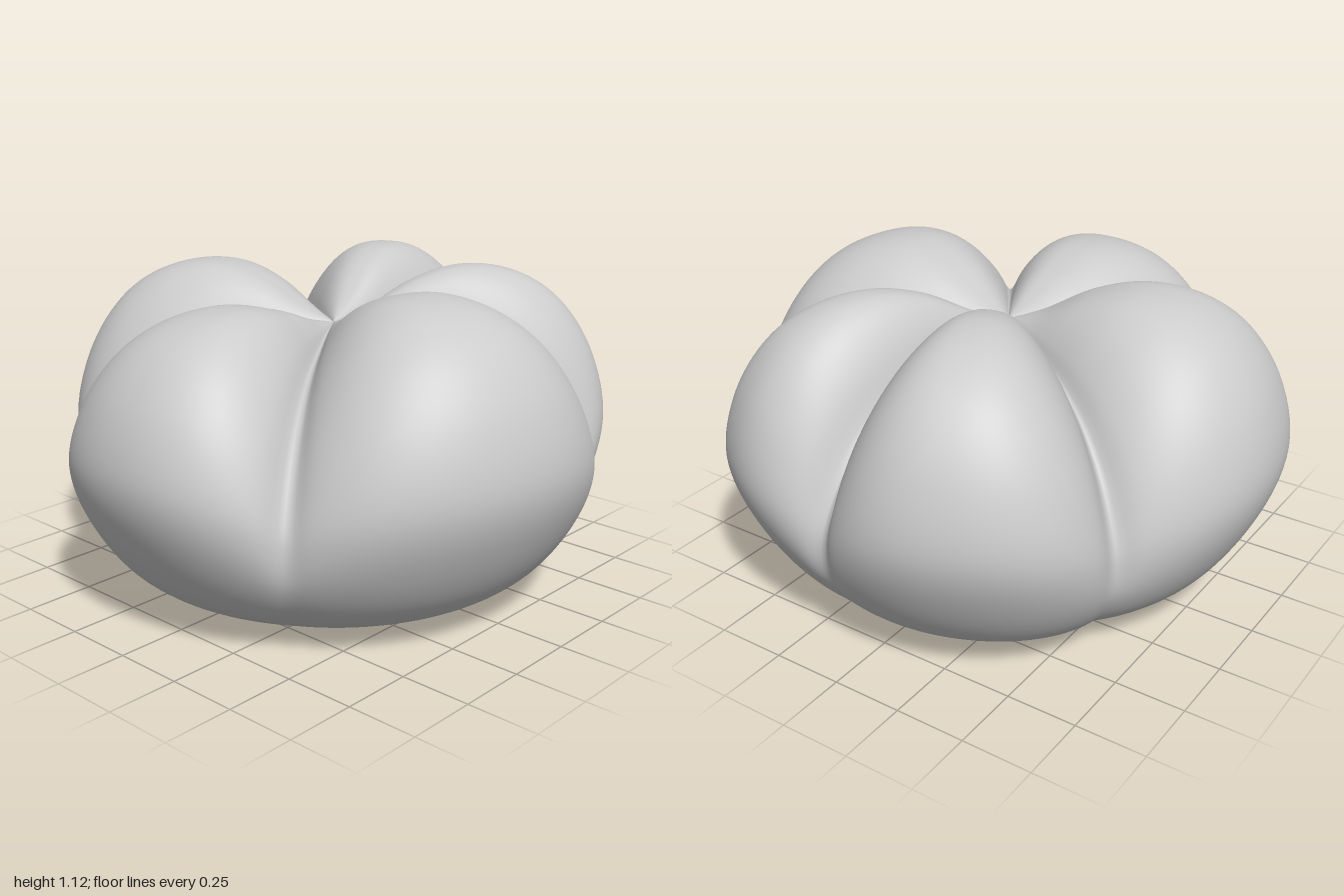
import * as THREE from 'three';

const DEG = Math.PI / 180;

// Grooves around the cushion: angle from +x towards +z, radius at the waist
const grooves = [[57, 0.865], [131.6, 0.84], [212.7, 0.835], [277.8, 0.885], [325, 0.87], [417, 0.865]];
// Lobe between each groove and the next: crest angle, crest radius, crest height
const lobes = [[90, 1.0, 1.05], [165, 0.995, 1.1], [249, 1.015, 1.12], [302, 1.01, 1.1], [371, 0.99, 1.1]];

const spline = (pts) => new THREE.SplineCurve(pts.map(([r, y]) => new THREE.Vector2(r, y)));

// Meridians (radius, height) from the underside centre to the top centre
const crest = spline([[0, 0], [0.35, 0.015], [0.6, 0.035], [0.79, 0.14], [0.93, 0.34], [1, 0.56], [0.95, 0.79],
  [0.83, 0.97], [0.67, 1.07], [0.48, 1.1], [0.3, 1.06], [0.13, 0.97], [0, 0.92]]);
const valley = spline([[0, 0], [0.35, 0.015], [0.6, 0.035], [0.76, 0.13], [0.86, 0.27], [0.875, 0.41], [0.83, 0.53],
  [0.74, 0.66], [0.61, 0.77], [0.46, 0.84], [0.3, 0.88], [0.13, 0.91], [0, 0.92]]);

// Lobe shape at an angle: swell is 1 on the crest and 0 in the groove
function lobeAt(deg) {
  const a = deg < grooves[0][0] ? deg + 360 : deg;
  const i = Math.min(4, grooves.findIndex((g, k) => k < 5 && a < grooves[k + 1][0]));
  const [a0, r0] = grooves[i];
  const [a1, r1] = grooves[i + 1];
  const [mid, radius, height] = lobes[i];
  const edge = Math.min(a - a0, a1 - a);
  const u = a < mid ? (mid - a) / (mid - a0) : (a - mid) / (a1 - mid);
  // Round the bottom of the groove a little
  const soft = 1 - Math.exp(-Math.pow(edge / 2.5, 2));
  const swell = (1 - Math.pow(u, 2.5)) * (0.4 + 0.6 * soft);
  const mix = (a - a0) / (a1 - a0);
  // Lobe heights fade into each other at the grooves
  return { swell, radius, height, grooveRadius: r0 + (r1 - r0) * mix };
}

function cushionGeometry(around = 300, along = 96) {
  const positions = [];
  const index = [];
  for (let i = 0; i < around; i++) {
    const deg = (i / around) * 360;
    const { swell, radius, height, grooveRadius } = lobeAt(deg);
    for (let j = 0; j <= along; j++) {
      const t = j / along;
      const c = crest.getPoint(t);
      const v = valley.getPoint(t);
      const cy = c.y > 0.56 ? 0.56 + (c.y - 0.56) * (1 + ((height - 1.1) / 0.54) * Math.min(1, c.x / 0.3)) : c.y;
      const r = THREE.MathUtils.lerp(v.x * (grooveRadius / 0.87), c.x * radius, swell);
      const y = THREE.MathUtils.lerp(v.y, cy, swell);
      positions.push(r * Math.cos(deg * DEG), Math.max(0, y), r * Math.sin(deg * DEG));
      if (j < along) {
        const a = i * (along + 1) + j;
        const b = ((i + 1) % around) * (along + 1) + j;
        if (j > 0) index.push(a, a + 1, b);
        if (j < along - 1) index.push(b, a + 1, b + 1);
        else if (j === 0) index.push(b, a + 1, b + 1);
      }
    }
  }
  const geometry = new THREE.BufferGeometry();
  geometry.setAttribute('position', new THREE.Float32BufferAttribute(positions, 3));
  geometry.setIndex(index);
  geometry.computeVertexNormals();
  // The pole vertices point straight down and straight up
  const normal = geometry.attributes.normal;
  for (let i = 0; i < around; i++) {
    normal.setXYZ(i * (along + 1), 0, -1, 0);
    normal.setXYZ(i * (along + 1) + along, 0, 1, 0);
  }
  return geometry;
}

export function createModel() {
  const group = new THREE.Group();
  group.name = 'lobedPouf';
  const material = new THREE.MeshStandardMaterial({ color: 0xcccccc });

  // Five-lobed soft cushion with a flat underside
  const cushion = new THREE.Mesh(cushionGeometry(), material);
  cushion.name = 'cushion';
  group.add(cushion);
  return group;
}
